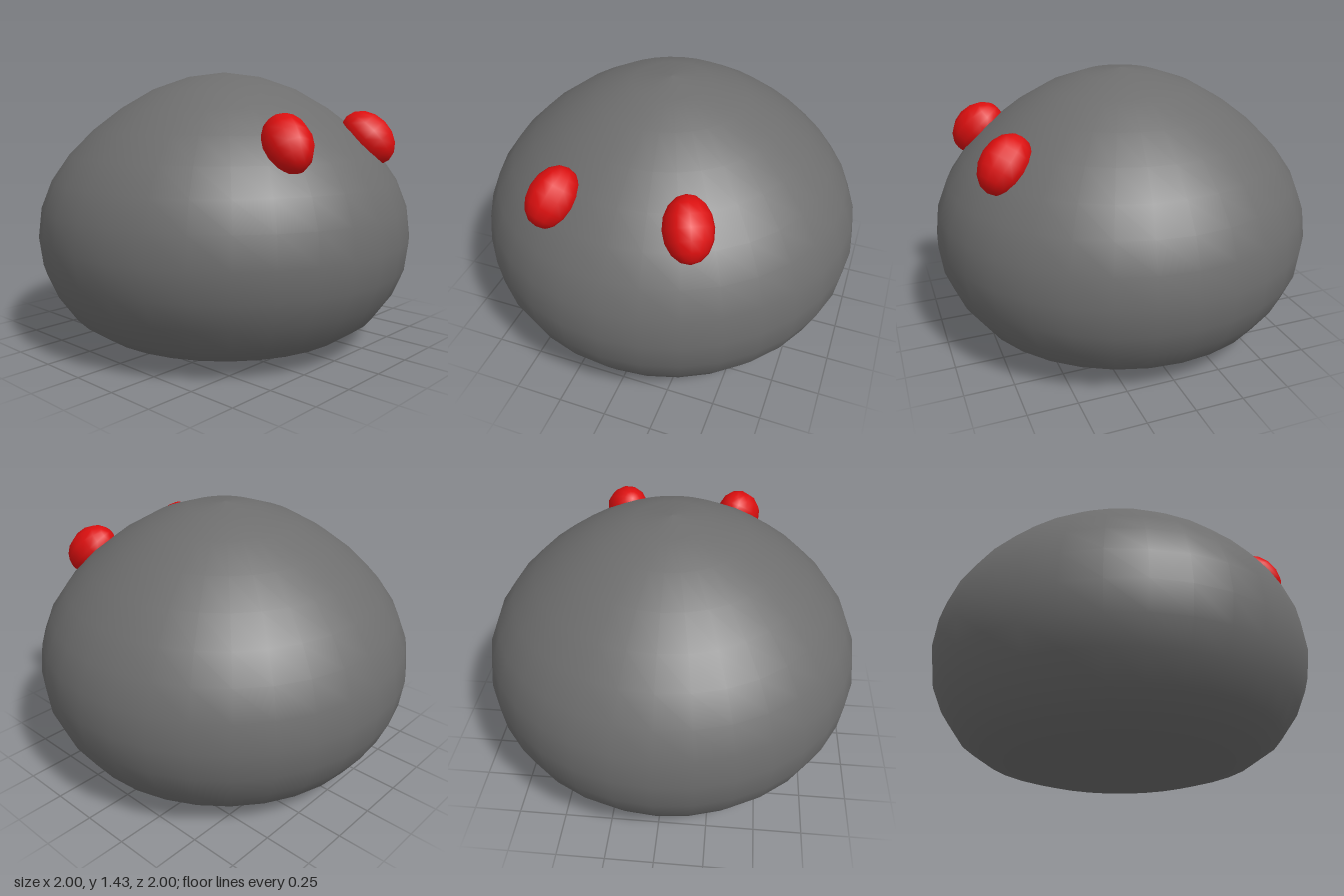
import * as THREE from 'three';

export function createModel() {
  const model = new THREE.Group();
  model.name = 'blobCreature';
  const bodyGrey = new THREE.MeshStandardMaterial({ color: 0x6e6e6e });
  bodyGrey.name = 'body grey';
  const eyeRed = new THREE.MeshStandardMaterial({ color: 0xdc0f0f });
  eyeRed.name = 'eye red';

  // Body: a round dome with a squashed, flat underside, ring heights from bottom to top
  const heights = [0, 0, 0.006, 0.025, 0.07, 0.155, 0.285, 0.42, 0.57,
    0.725, 0.868, 1.0, 1.125, 1.24, 1.34, 1.405, 1.43];
  const profile = heights.map((y, i) =>
    new THREE.Vector2(Math.sin((i / 16) * Math.PI), y));
  profile[0].x = profile[16].x = 0;
  const body = new THREE.Mesh(new THREE.LatheGeometry(profile, 32), bodyGrey);
  body.name = 'body';
  model.add(body);

  // Eyes: egg-shaped beads lying against the slope of the dome
  const eyeGeometry = new THREE.SphereGeometry(1, 12, 8);
  for (const side of [1, -1]) {
    const eye = new THREE.Mesh(eyeGeometry, eyeRed);
    eye.name = side > 0 ? 'leftEye' : 'rightEye';
    eye.scale.set(0.118, 0.156, 0.12);
    eye.rotation.set(-Math.PI / 4, side * 0.44, 0, 'YXZ');
    eye.position.set(side * 0.333, 1.09, 0.697);
    model.add(eye);
  }
  return model;
}
